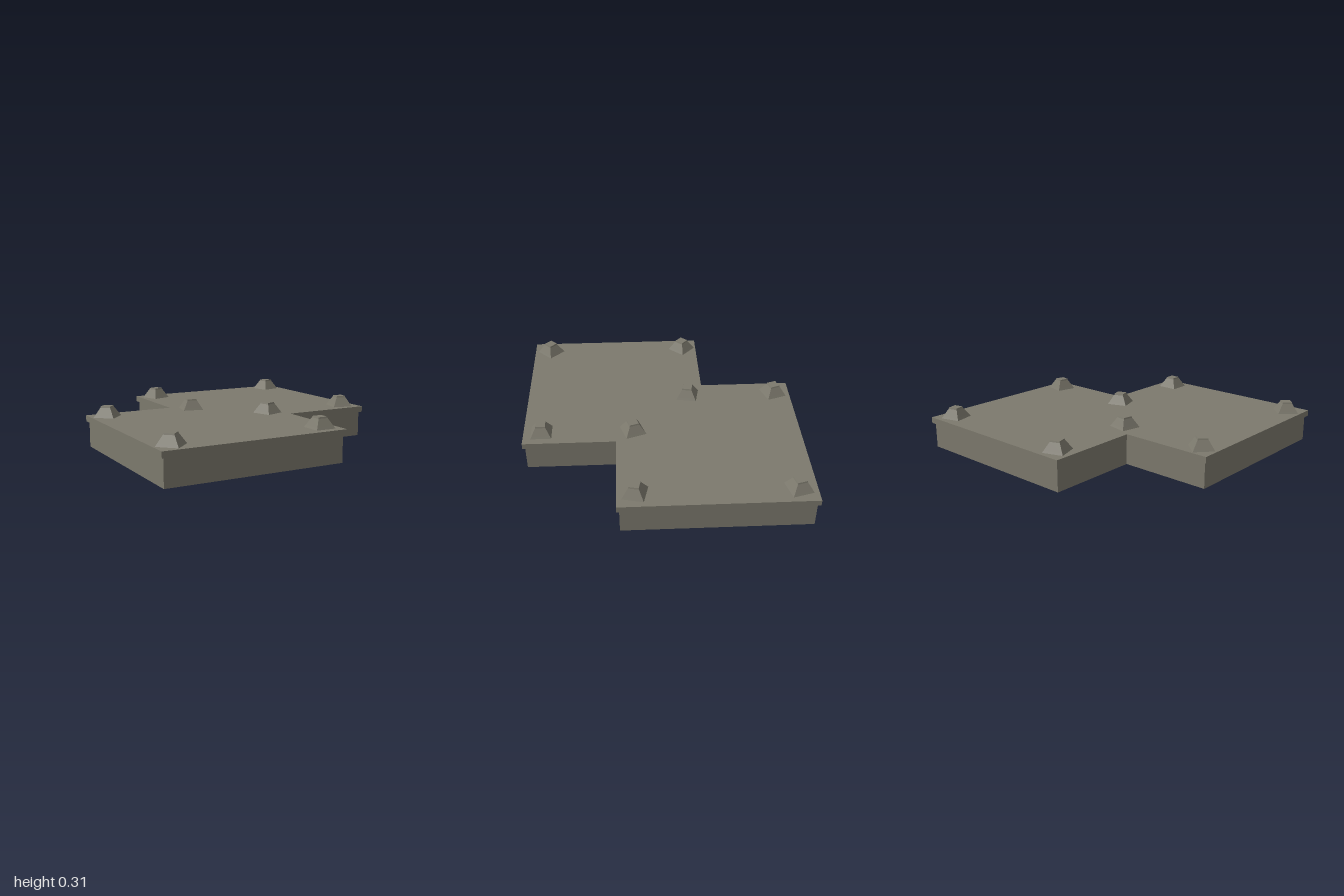
import * as THREE from 'three';

export function createModel() {
  const group = new THREE.Group();
  const stone = new THREE.MeshStandardMaterial({ color: 0x7c796d, flatShading: true, side: THREE.DoubleSide });
  stone.name = 'weathered stone';

  // Two overlapping squares, drawn in by d; corners run anticlockwise seen from above
  const outline = (d) => {
    const a = 1 - d, n = 0.333 - d;
    return [[-a, a], [n, a], [n, n], [a, n], [a, -a], [-n, -a], [-n, -n], [-a, -n]];
  };

  const add = (name, geometry) => {
    const mesh = new THREE.Mesh(geometry, stone);
    mesh.name = name;
    group.add(mesh);
    return mesh;
  };

  // Band of quads joining the outline at [inset, height] to the next one
  const band = (name, [d0, y0], [d1, y1]) => {
    const low = outline(d0), high = outline(d1), pos = [];
    low.forEach((p, i) => {
      const j = (i + 1) % low.length;
      const A = [p[0], y0, p[1]], B = [low[j][0], y0, low[j][1]];
      const C = [high[j][0], y1, high[j][1]], D = [high[i][0], y1, high[i][1]];
      pos.push(...A, ...B, ...C, ...A, ...C, ...D);
    });
    const g = new THREE.BufferGeometry();
    g.setAttribute('position', new THREE.Float32BufferAttribute(pos, 3));
    g.computeVertexNormals();
    add(name, g);
  };

  // Hollow platform: skirt, overhanging ledge, rim and top
  band('skirt', [0.018, 0], [0.018, 0.187]);
  band('ledge', [0.018, 0.187], [0, 0.187]);
  band('rim', [0, 0.187], [0, 0.23]);
  const shape = new THREE.Shape(outline(0).map(([x, z]) => new THREE.Vector2(x, -z)));
  add('top', new THREE.ShapeGeometry(shape).rotateX(-Math.PI / 2).translate(0, 0.23, 0));

  // Four-sided studs with a steep foot, sloping body and small cap
  const profile = [[0.075, 0], [0.067, 0.014], [0.037, 0.068], [0.034, 0.078], [0, 0.078]]
    .map(([half, y]) => new THREE.Vector2(half * Math.SQRT2, y));
  const studGeometry = new THREE.LatheGeometry(profile, 4, Math.PI / 4);
  const studs = [ // x, z, turn in degrees
    [-0.21, -0.875, 19], [0.87, -0.875, 15], [-0.88, -0.215, -42], [-0.21, -0.215, -11],
    [0.21, 0.21, 19], [0.87, 0.21, -13], [-0.88, 0.87, 45], [0.205, 0.87, 0],
  ];
  for (const [x, z, turn] of studs) {
    const stud = add('stud', studGeometry);
    stud.position.set(x, 0.23, z);
    stud.rotation.y = THREE.MathUtils.degToRad(turn);
  }
  return group;
}
